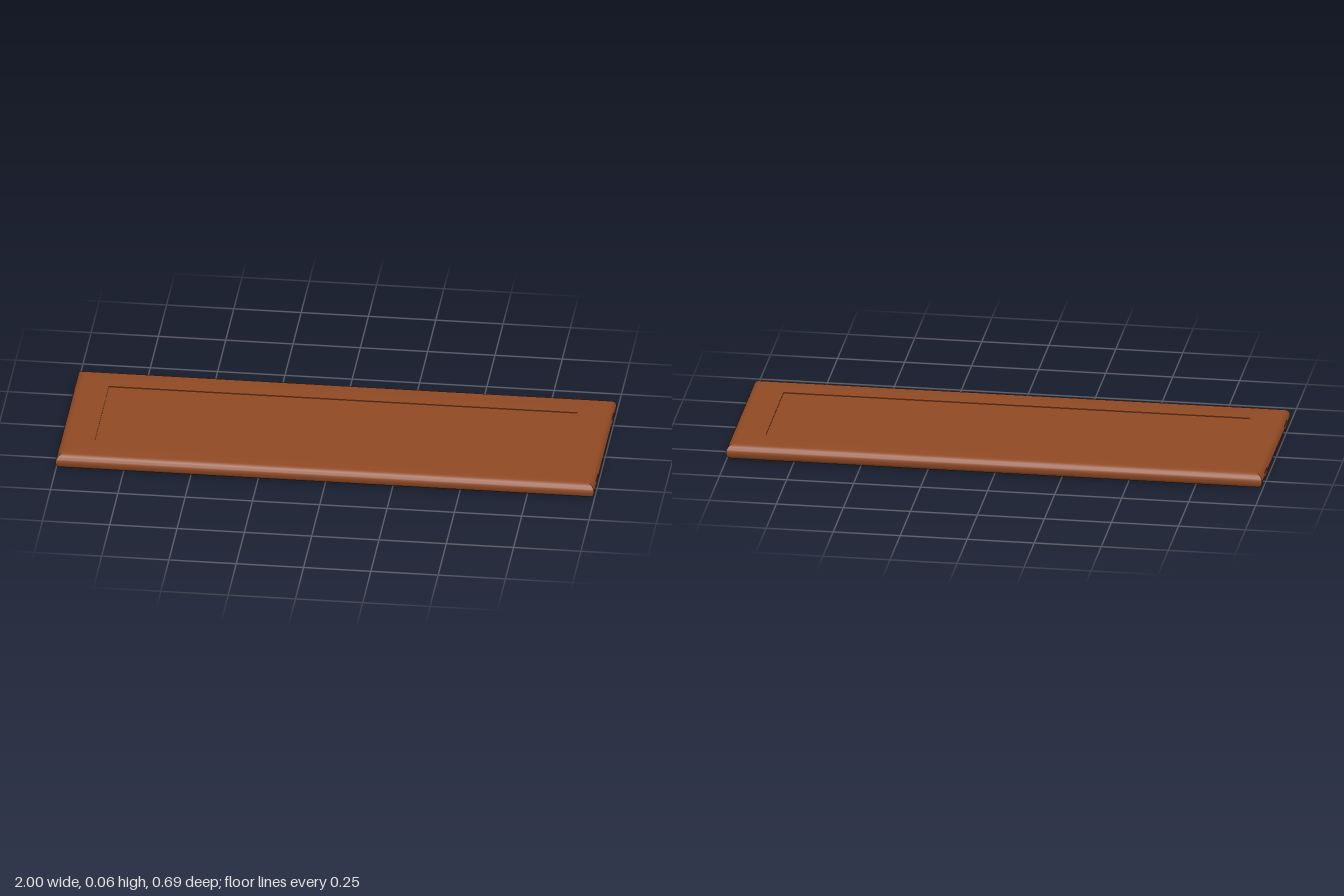
import * as THREE from 'three';
import { toCreasedNormals } from 'three/addons/utils/BufferGeometryUtils.js';

const INNER_X = 0.87, INNER_Z = 0.217; // half size of the framed panel
const BOTTOM = 0.003, TOP = 0.063, RADIUS = 0.03, RAIL = 0.13;
const PANEL_UNDER = 0.039;
const SLOT = { w: 0.03, d: 0.014, depth: 0.012 };

// Mitred rail along x: inner wall, flat top and bullnose edge
function railGeometry(halfLength, halfDepth) {
  const flat = RAIL - RADIUS, midY = (TOP + BOTTOM) / 2;
  const profile = [[0, BOTTOM], [0, TOP], [flat, TOP]];
  for (let i = 1; i <= 16; i++) {
    const a = Math.PI / 2 - (i / 16) * Math.PI;
    profile.push([flat + RADIUS * Math.cos(a), midY + RADIUS * Math.sin(a)]);
  }
  const positions = [], index = [];
  profile.forEach(([d, y], i) => {
    positions.push(-(halfLength + d), y, halfDepth + d, halfLength + d, y, halfDepth + d);
    if (i < profile.length - 1) {
      const a = 2 * i;
      index.push(a, a + 2, a + 3, a, a + 3, a + 1);
    }
  });
  const geometry = new THREE.BufferGeometry();
  geometry.setAttribute('position', new THREE.Float32BufferAttribute(positions, 3));
  geometry.setIndex(index);
  return toCreasedNormals(geometry, Math.PI / 5);
}

// Flat underside of a rail, cut with fixing slots
function undersideGeometry(halfLength, halfDepth, slots) {
  const flat = RAIL - RADIUS;
  const shape = new THREE.Shape([
    new THREE.Vector2(-halfLength, halfDepth),
    new THREE.Vector2(halfLength, halfDepth),
    new THREE.Vector2(halfLength + flat, halfDepth + flat),
    new THREE.Vector2(-halfLength - flat, halfDepth + flat),
  ]);
  for (const x of slots) {
    const z = halfDepth + 0.035, w = SLOT.w / 2, d = SLOT.d / 2;
    shape.holes.push(new THREE.Path([
      new THREE.Vector2(x - w, z - d), new THREE.Vector2(x - w, z + d),
      new THREE.Vector2(x + w, z + d), new THREE.Vector2(x + w, z - d),
    ]));
  }
  return new THREE.ShapeGeometry(shape).rotateX(Math.PI / 2).translate(0, BOTTOM, 0);
}

// Box turned inside out, seen through its opening
function pocketGeometry() {
  const geometry = new THREE.BoxGeometry(SLOT.w, SLOT.depth, SLOT.d);
  geometry.setIndex(Array.from(geometry.index.array).reverse());
  const normals = geometry.attributes.normal.array;
  for (let i = 0; i < normals.length; i++) normals[i] *= -1;
  return geometry;
}

export function createModel() {
  const model = new THREE.Group();
  model.name = 'tableTop';
  const wood = new THREE.MeshStandardMaterial({ color: 0x8f4924 });
  wood.name = 'brownWood';

  const add = (name, geometry, x = 0, y = 0, z = 0, parent = model) => {
    const mesh = new THREE.Mesh(geometry, wood);
    mesh.name = name;
    mesh.position.set(x, y, z);
    parent.add(mesh);
    return mesh;
  };

  // Four mitred frame rails with slots underneath
  ['front', 'left', 'back', 'right'].forEach((side, k) => {
    const long = k % 2 === 0;
    const L = long ? INNER_X : INNER_Z, D = long ? INNER_Z : INNER_X;
    const slots = long ? [-0.69, -0.27, 0.27, 0.69] : [0];
    const rail = new THREE.Group();
    rail.name = side + 'Rail';
    rail.rotation.y = k * Math.PI / 2;
    add(side + 'RailEdge', railGeometry(L, D), 0, 0, 0, rail);
    add(side + 'RailUnderside', undersideGeometry(L, D, slots), 0, 0, 0, rail);
    for (const x of slots) {
      add('fixingSlot', pocketGeometry(), x, BOTTOM + SLOT.depth / 2, D + 0.035, rail);
    }
    model.add(rail);
  });

  // Centre panel, set just below the frame
  const panelTop = TOP - 0.002;
  add('centrePanel', new THREE.BoxGeometry(2 * INNER_X, panelTop - PANEL_UNDER, 2 * INNER_Z),
    0, (panelTop + PANEL_UNDER) / 2, 0);

  // Three cross battens underneath
  for (const x of [-0.608, 0, 0.608]) {
    add('crossBatten', new THREE.BoxGeometry(0.07, PANEL_UNDER - BOTTOM, 2 * INNER_Z),
      x, (PANEL_UNDER + BOTTOM) / 2, 0);
  }

  for (const sx of [-1, 1]) {
    for (const sz of [-1, 1]) {
      // Flush tenon ends in the short edges
      add('tenonEnd', new THREE.BoxGeometry(0.02, 0.02, 0.057), sx * 0.99, 0.032, sz * 0.243);
      // Small corner pads
      add('cornerPad', new THREE.CylinderGeometry(0.01, 0.01, 0.006, 16), sx * 0.953, 0.003, sz * 0.303);
    }
  }
  return model;
}
